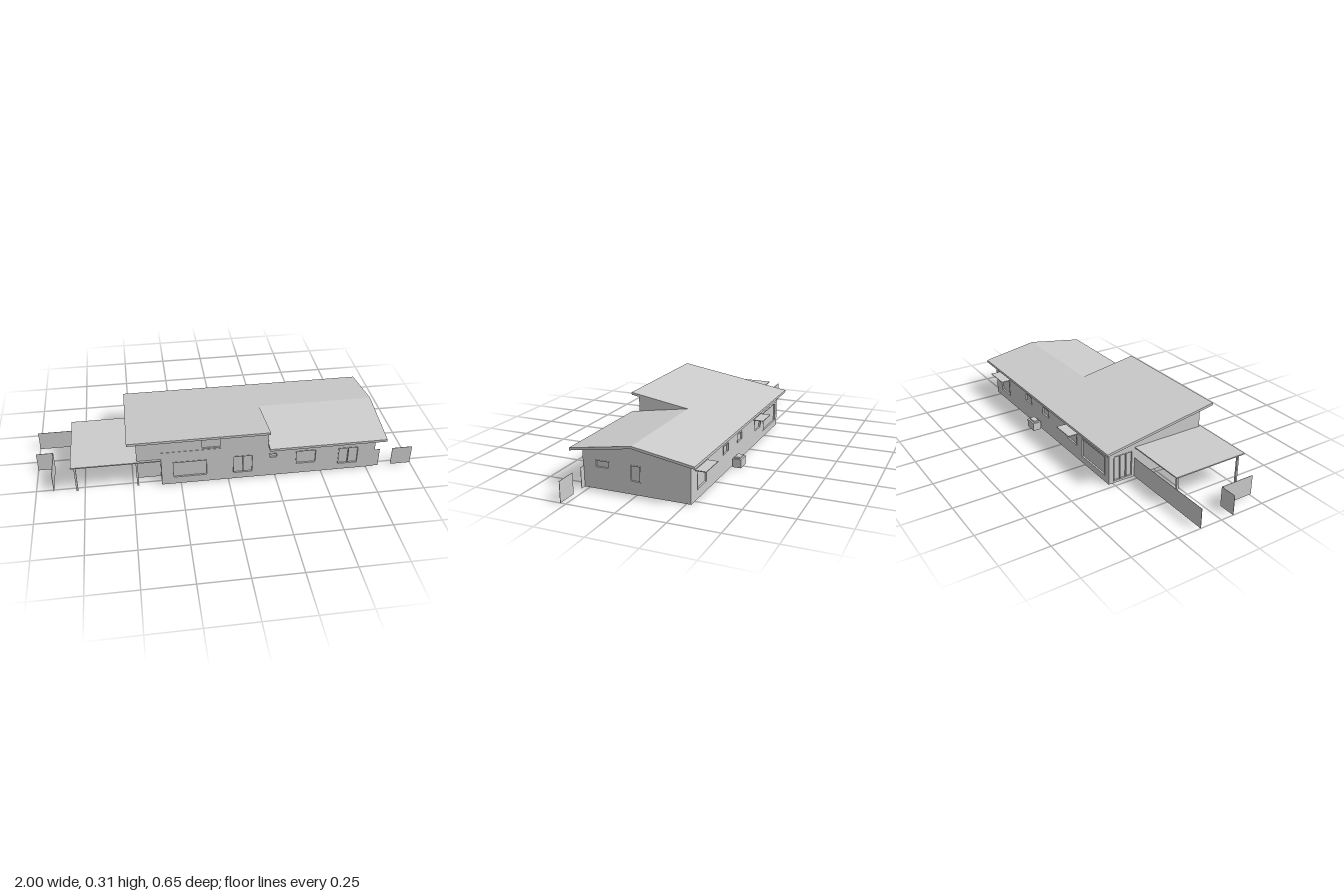
import * as THREE from 'three';

const T = 0.012; // wall thickness
const FRONT = 0.283, BACK = -0.273, LEFT = 0.79, RIGHT = -0.475;

export function createModel() {
  const house = new THREE.Group();
  house.name = 'house';
  const grey = new THREE.MeshStandardMaterial({ color: 0xcccccc, side: THREE.DoubleSide });
  grey.name = 'light grey';

  const add = (name, geometry, parent = house) => {
    const mesh = new THREE.Mesh(geometry, grey);
    mesh.name = name;
    parent.add(mesh);
    return mesh;
  };

  // Box given by its limits on each axis
  const block = (name, x0, x1, y0, y1, z0, z1, parent) => add(name,
    new THREE.BoxGeometry(x1 - x0, y1 - y0, z1 - z0)
      .translate((x0 + x1) / 2, (y0 + y1) / 2, (z0 + z1) / 2), parent);

  const outline = (points) => new THREE.Shape(points.map(([x, y]) => new THREE.Vector2(x, y)));

  // Wall with window openings [u0, u1, y0, y1, panes]; its outer face is at local z = 0
  const wall = (name, points, windows, turn, x, z) => {
    const group = new THREE.Group();
    group.name = name;
    const shape = outline(points);
    for (const [a, b, c, d] of windows) {
      shape.holes.push(new THREE.Path([[a, c], [a, d], [b, d], [b, c]].map((p) => new THREE.Vector2(...p))));
    }
    add(name + 'Panel', new THREE.ExtrudeGeometry(shape, { depth: T, bevelEnabled: false }).translate(0, 0, -T), group);
    for (const [a, b, c, d, panes = 1] of windows) {
      const f = 0.004;
      block('windowPane', a, b, c, d, -0.01, -0.007, group);
      block('windowSill', a, b, c, c + f, -0.008, 0.002, group);
      block('windowHead', a, b, d - f, d, -0.008, 0.002, group);
      for (let i = 0; i <= panes; i++) {
        const u = a + f / 2 + (b - a - f) * i / panes;
        block('windowPost', u - f / 2, u + f / 2, c, d, -0.008, 0.002, group);
      }
    }
    group.rotation.y = turn;
    group.position.set(x, 0, z);
    house.add(group);
  };

  // Outer walls
  wall('frontWall',
    [[-0.35, 0], [LEFT, 0], [LEFT, 0.197], [0.21, 0.197], [0.21, 0.289],
      [RIGHT, 0.289], [RIGHT, 0.163], [-0.35, 0.163]],
    [[-0.29, -0.11, 0.04, 0.14], [0.026, 0.13, 0.035, 0.145, 2], [0.215, 0.26, 0.115, 0.143],
      [0.36, 0.47, 0.06, 0.145], [0.59, 0.70, 0.035, 0.14, 2], [-0.14, -0.04, 0.21, 0.27]],
    0, 0, FRONT);
  wall('backWall',
    [[-LEFT, 0], [-RIGHT, 0], [-RIGHT, 0.197], [-LEFT, 0.197]],
    [[-0.72, -0.61, 0.045, 0.135], [-0.4, -0.33, 0.1, 0.148], [-0.2, -0.13, 0.1, 0.148],
      [0.07, 0.17, 0.075, 0.14], [0.22, 0.44, 0.035, 0.143]],
    Math.PI, 0, BACK);
  wall('leftEndWall',
    [[-FRONT, 0], [-BACK, 0], [-BACK, 0.197], [0, 0.242], [-FRONT, 0.197]],
    [[-0.215, -0.142, 0.107, 0.145], [-0.033, 0.021, 0.063, 0.145]],
    Math.PI / 2, LEFT, 0);
  wall('rightEndWall',
    [[BACK, 0], [0.21, 0], [0.21, 0.163], [FRONT, 0.163], [FRONT, 0.289], [BACK, 0.197]],
    [[-0.245, -0.135, 0.01, 0.15, 3]],
    -Math.PI / 2, RIGHT, 0);
  wall('roofStepWall', [[-FRONT, 0.197], [0, 0.242], [-FRONT, 0.289]], [], Math.PI / 2, 0.21, 0);
  block('upperWindowLedge', -0.35, -0.04, 0.203, 0.206, FRONT, FRONT + 0.002);

  // Entry recess at the front corner
  block('entryBackWall', RIGHT, -0.35, 0, 0.163, 0.198, 0.21);
  block('entrySideWall', -0.35, -0.338, 0, 0.163, 0.2, FRONT - T);
  block('entryCeiling', RIGHT, -0.35, 0.163, 0.168, 0.2, FRONT - T);

  // Roofs: profiles in z and y, swept along x
  const roof = (name, x0, x1, points) => add(name,
    new THREE.ExtrudeGeometry(outline(points), { depth: x1 - x0, bevelEnabled: false })
      .rotateY(-Math.PI / 2).translate(x1, 0, 0));
  roof('highRoof', -0.52, 0.21,
    [[-0.31, 0.19], [0, 0.242], [0.327, 0.296], [0.327, 0.309], [0, 0.255], [-0.31, 0.203]]);
  roof('lowRoof', 0.21, 0.835,
    [[-0.31, 0.19], [0, 0.242], [0.327, 0.19], [0.327, 0.203], [0, 0.255], [-0.31, 0.203]]);

  // Carport with slim posts
  block('carportRoof', -0.81, RIGHT, 0.16, 0.166, -0.12, 0.295);
  block('entryCanopy', RIGHT, -0.35, 0.16, 0.166, FRONT, 0.295);
  for (const [x, z] of [[-0.79, 0.27], [-0.79, -0.1], [-0.475, 0.27]]) {
    block('carportPost', x - 0.005, x + 0.005, 0, 0.16, z - 0.005, z + 0.005);
  }

  // Fences
  const H = 0.106, F = 0.002;
  block('longFence', -1, RIGHT, 0, H, -0.12 - F, -0.12);
  block('cornerFenceSide', -0.91 - F, -0.91, 0, H, 0.07, 0.26);
  block('cornerFenceEnd', -1, -0.91, 0, H, 0.07, 0.07 + F);
  block('gateFence', LEFT, 0.82, 0, H, 0.28 - F, 0.28);
  block('gateFence', 0.89, 1, 0, H, 0.28 - F, 0.28);

  // Back window canopies and outdoor unit
  for (const [a, b] of [[-0.18, -0.055], [0.6, 0.745]]) {
    block('windowCanopy', a, b, 0.146, 0.15, -0.327, BACK);
  }
  block('outdoorUnit', 0.215, 0.285, 0, 0.045, -0.326, -0.279);
  block('outdoorUnitCap', 0.225, 0.275, 0.045, 0.054, -0.317, -0.288);

  // Room partitions, open to the ground
  const zIn = BACK + T, zOut = FRONT - T, P = 0.008, top = 0.19;
  block('corridorWall', -0.2, LEFT - T, 0, top, -0.04, -0.04 + P);
  block('corridorWall', 0.05, LEFT - T, 0, top, 0.04, 0.04 + P);
  for (const x of [-0.2, 0.02, 0.16, 0.3, 0.54]) block('backPartition', x, x + P, 0, top, zIn, -0.04);
  for (const x of [0.05, 0.19, 0.29, 0.54]) block('frontPartition', x, x + P, 0, top, 0.04, zOut);

  // Low furniture in the rooms
  const furniture = [[0.66, 0.2], [0.4, 0.2], [0.23, 0.2], [0.1, 0.2], [0.66, -0.2], [0.42, -0.2],
    [0.23, -0.2], [0.09, -0.2], [-0.1, -0.2], [-0.1, 0.2], [-0.24, 0.08], [-0.35, -0.12], [-0.08, 0.04]];
  for (const [x, z] of furniture) block('furniture', x - 0.04, x + 0.04, 0.03, 0.05, z - 0.05, z + 0.05);

  return house;
}
